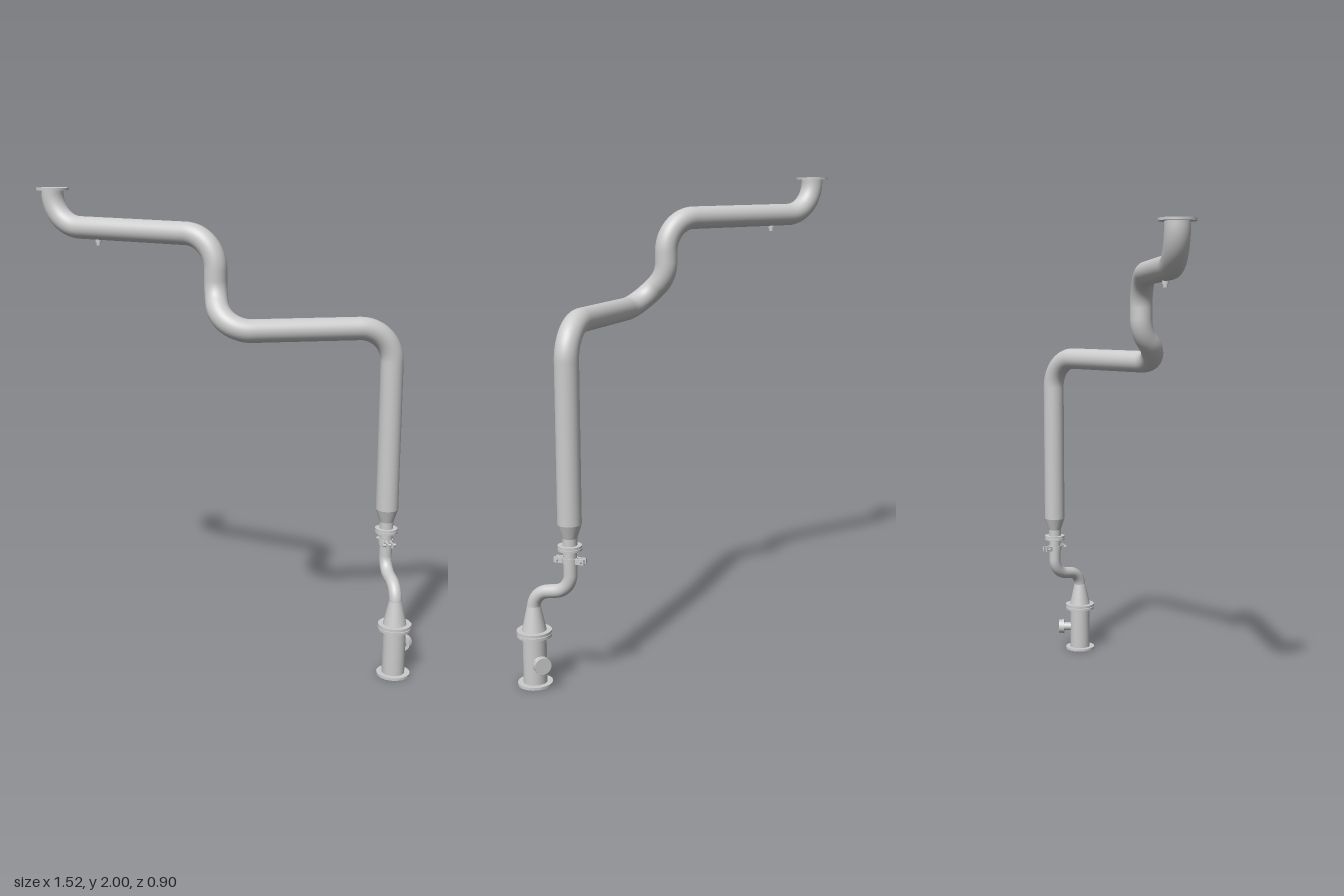
import * as THREE from 'three';

const material = new THREE.MeshStandardMaterial({ color: 0xcccccc });
const V = (x, y, z) => new THREE.Vector3(x, y, z);

function add(parent, name, geometry, x = 0, y = 0, z = 0) {
  const mesh = new THREE.Mesh(geometry, material);
  mesh.name = name;
  mesh.position.set(x, y, z);
  parent.add(mesh);
  return mesh;
}

// Vertical cylinder or cone between two heights
function drum(parent, name, x, z, y0, y1, r0, r1 = r0) {
  return add(parent, name, new THREE.CylinderGeometry(r1, r0, y1 - y0, 40), x, (y0 + y1) / 2, z);
}

// Straight runs joined by circular elbows; radii[i] belongs to inner corner i
function pipeGeometry(points, radii, pipeRadius, segments) {
  const path = new THREE.CurvePath();
  let start = points[0];
  for (let i = 1; i < points.length - 1; i++) {
    const corner = points[i], r = radii[i - 1];
    const a = corner.clone().sub(points[i - 1]).normalize();
    const b = points[i + 1].clone().sub(corner).normalize();
    const angle = a.angleTo(b);
    const reach = r * Math.tan(angle / 2), handle = r * Math.tan(angle / 4) * 4 / 3;
    const p = corner.clone().addScaledVector(a, -reach);
    const q = corner.clone().addScaledVector(b, reach);
    path.add(new THREE.LineCurve3(start, p));
    path.add(new THREE.CubicBezierCurve3(
      p, p.clone().addScaledVector(a, handle), q.clone().addScaledVector(b, -handle), q));
    start = q;
  }
  path.add(new THREE.LineCurve3(start, points[points.length - 1]));
  path.arcLengthDivisions = 600;
  return new THREE.TubeGeometry(path, segments, pipeRadius, 32, false);
}

export function createModel() {
  const model = new THREE.Group();
  model.name = 'pipeRun';
  const X = 0.661, Z = 0.217, BZ = 0.38;

  // Main large pipe from the reducer up to the outlet
  add(model, 'mainPipe', pipeGeometry([
    V(X, 0.68, Z), V(X, 1.454, Z), V(-0.051, 1.454, Z), V(-0.051, 1.588, 0.085),
    V(-0.051, 1.826, 0.085), V(-0.688, 1.838, -0.382), V(-0.688, 1.995, -0.382),
  ], [0.14, 0.13, 0.135, 0.14, 0.14], 0.0475, 300));
  drum(model, 'outletFlange', -0.688, -0.382, 1.99, 2, 0.07);

  // Small drain nipple under the upper run
  drum(model, 'drainNipple', -0.503, -0.246, 1.764, 1.81, 0.009);
  drum(model, 'drainCollar', -0.503, -0.246, 1.776, 1.79, 0.013);

  // Reducer, coupling and the narrow S-bend
  drum(model, 'upperReducer', X, Z, 0.625, 0.68, 0.029, 0.0475);
  drum(model, 'reducerNeck', X, Z, 0.585, 0.625, 0.029);
  drum(model, 'couplingFlangeUpper', X, Z, 0.587, 0.596, 0.0475);
  drum(model, 'couplingFlangeLower', X, Z, 0.576, 0.585, 0.0475);
  add(model, 'narrowPipe', pipeGeometry([
    V(X, 0.59, Z), V(X, 0.412, Z), V(X, 0.386, BZ), V(X, 0.31, BZ),
  ], [0.075, 0.075], 0.027, 90));

  // Clamp with paired ears and cross bolts
  const clamp = new THREE.Group();
  clamp.name = 'pipeClamp';
  clamp.position.set(X, 0.535, Z);
  model.add(clamp);
  drum(clamp, 'clampBand', 0, 0, -0.011, 0.011, 0.031);
  for (const sz of [-1, 1]) {
    for (const sx of [-1, 1]) {
      add(clamp, 'clampEar', new THREE.BoxGeometry(0.008, 0.022, 0.04), sx * 0.011, 0, sz * 0.044);
    }
    const bolt = add(clamp, 'clampBolt', new THREE.CylinderGeometry(0.006, 0.006, 0.056, 12), 0, 0, sz * 0.05);
    bolt.rotation.z = Math.PI / 2;
  }

  // Base vessel with cone and flanges
  drum(model, 'lowerCone', X, BZ, 0.228, 0.33, 0.049, 0.027);
  drum(model, 'vesselFlangeUpper', X, BZ, 0.218, 0.229, 0.07);
  drum(model, 'flangeGasket', X, BZ, 0.215, 0.218, 0.06);
  drum(model, 'vesselFlangeLower', X, BZ, 0.204, 0.215, 0.07);
  drum(model, 'vesselBody', X, BZ, 0.005, 0.21, 0.0475);
  drum(model, 'baseFlange', X, BZ, 0, 0.011, 0.07);

  // Side nozzle pointing back and to the left at 45 degrees
  const nozzle = new THREE.Group();
  nozzle.name = 'sideNozzle';
  nozzle.position.set(X, 0.111, BZ);
  nozzle.quaternion.setFromUnitVectors(V(0, 1, 0), V(1, 0, -1).normalize());
  model.add(nozzle);
  drum(nozzle, 'nozzleNeck', 0, 0, 0.03, 0.09, 0.019);
  drum(nozzle, 'nozzleFlange', 0, 0, 0.079, 0.09, 0.034);
  drum(nozzle, 'nozzleCover', 0, 0, 0.092, 0.103, 0.034);
  drum(nozzle, 'nozzleGasket', 0, 0, 0.089, 0.093, 0.03);

  return model;
}
